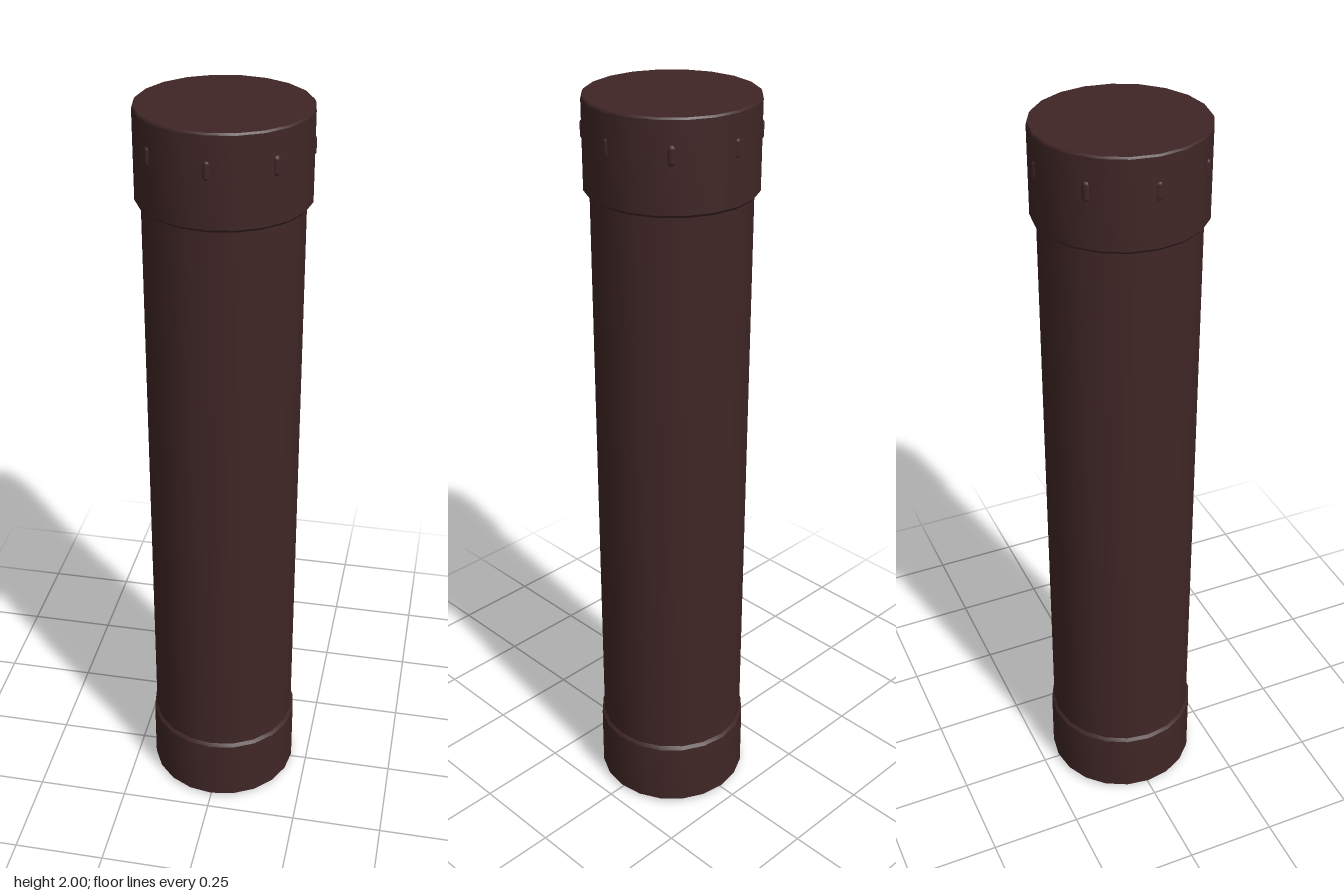
import * as THREE from 'three';
import { toCreasedNormals } from 'three/addons/utils/BufferGeometryUtils.js';

const SIDES = 20;

export function createModel() {
  const group = new THREE.Group();
  const darkBrown = new THREE.MeshStandardMaterial({ color: 0x402626 });
  darkBrown.name = 'darkBrown';

  // Turned part: profile of [radius, height] from bottom to top
  const turned = (name, profile) => {
    const points = profile.map(([r, y]) => new THREE.Vector2(r, y));
    const geometry = toCreasedNormals(new THREE.LatheGeometry(points, SIDES), 0.5);
    const mesh = new THREE.Mesh(geometry, darkBrown);
    mesh.name = name;
    group.add(mesh);
  };

  // Long tube with a chamfered cap at each end
  turned('body', [[0.199, 0.1], [0.199, 1.9]]);
  turned('bottomCap', [
    [0, 0], [0.197, 0], [0.206, 0.009], [0.206, 0.19], [0.199, 0.199],
  ]);
  turned('topCap', [
    [0.197, 1.768], [0.208, 1.768], [0.214, 1.775], [0.214, 1.995], [0.211, 2], [0, 2],
  ]);

  // Eight small grip ridges around the top cap
  const ridgeGeometry = new THREE.CapsuleGeometry(0.01, 0.03, 4, 10);
  const ridges = new THREE.Group();
  ridges.name = 'gripRidges';
  for (let i = 0; i < 8; i++) {
    const angle = (i * Math.PI) / 4;
    const ridge = new THREE.Mesh(ridgeGeometry, darkBrown);
    ridge.name = 'gripRidge';
    ridge.position.set(Math.sin(angle) * 0.207, 1.914, Math.cos(angle) * 0.207);
    ridges.add(ridge);
  }
  group.add(ridges);

  return group;
}
